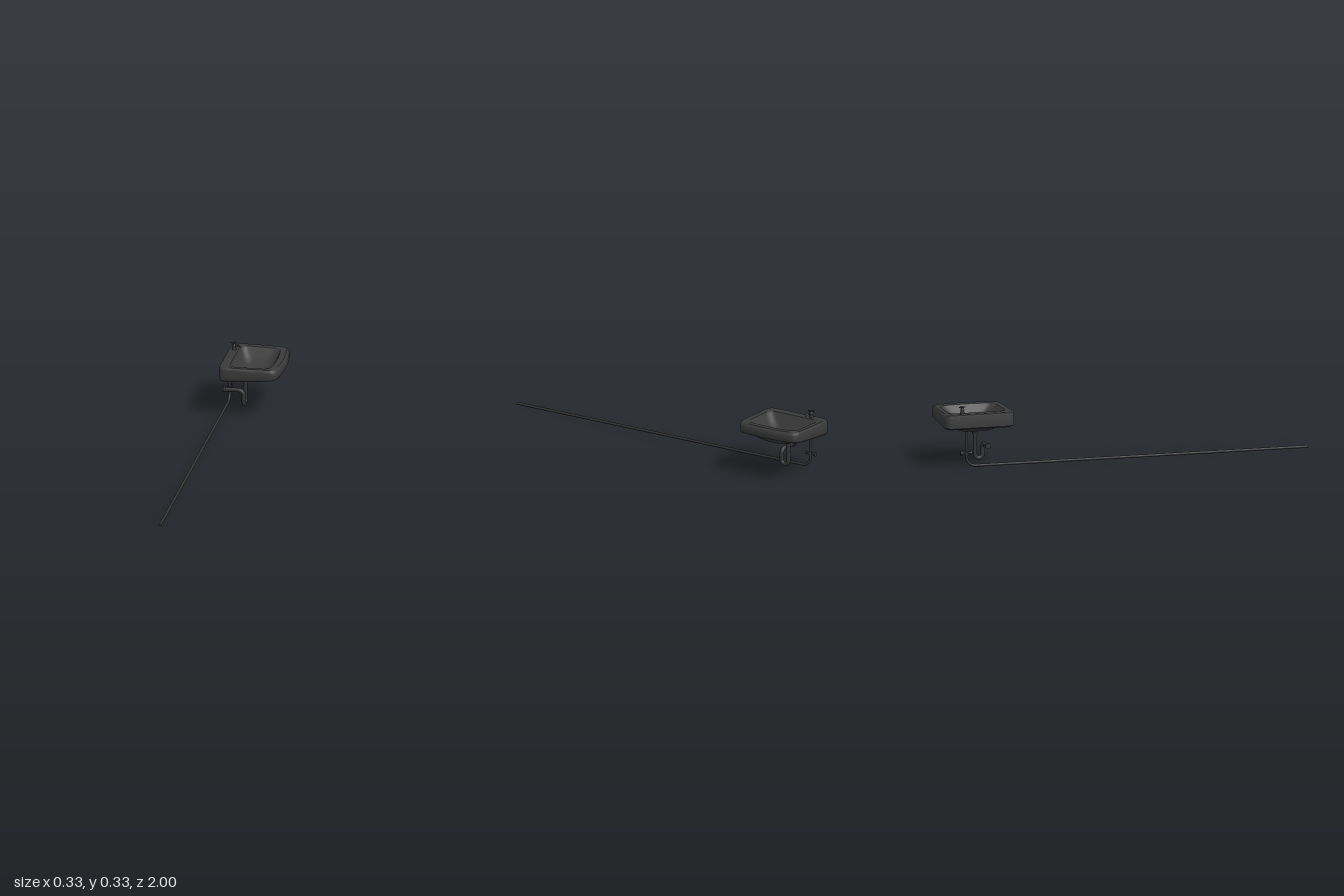
import * as THREE from 'three';
import { toCreasedNormals } from 'three/addons/utils/BufferGeometryUtils.js';

const V = (x, y, z) => new THREE.Vector3(x, y, z);
const ceramic = new THREE.MeshStandardMaterial({ color: 0x3a3a3a });
const metal = new THREE.MeshStandardMaterial({ color: 0x333333 });

function add(parent, name, geometry, material = metal) {
  const mesh = new THREE.Mesh(geometry, material);
  mesh.name = name;
  parent.add(mesh);
  return mesh;
}

// Cylinder between two points
function rod(parent, name, a, b, r0, r1 = r0, sides = 14) {
  const dir = b.clone().sub(a);
  const mesh = add(parent, name, new THREE.CylinderGeometry(r1, r0, dir.length(), sides));
  mesh.position.copy(a).add(b).multiplyScalar(0.5);
  mesh.quaternion.setFromUnitVectors(V(0, 1, 0), dir.normalize());
  return mesh;
}

// Straight runs joined by rounded elbows; bends[i] is the radius at inner point i + 1
function pipe(parent, name, points, r, bends) {
  const group = new THREE.Group();
  group.name = name;
  parent.add(group);
  let start = points[0];
  for (let i = 1; i < points.length; i++) {
    const p = points[i], last = i === points.length - 1;
    const into = p.clone().sub(points[i - 1]).normalize();
    const R = last ? 0 : bends[i - 1];
    const end = p.clone().addScaledVector(into, -R);
    if (end.distanceTo(start) > 1e-3) rod(group, 'straightRun', start, end, r);
    if (last) break;
    const out = points[i + 1].clone().sub(p).normalize();
    start = p.clone().addScaledVector(out, R);
    const arc = new THREE.CubicBezierCurve3(end, end.clone().addScaledVector(into, R * 0.55),
      start.clone().addScaledVector(out, -R * 0.55), start);
    add(group, 'elbow', new THREE.TubeGeometry(arc, 10, r, 14));
  }
  return group;
}

// Rounded rectangle with a bowed +x edge; height runs from yBack at -x to yFront at +x
function basinRing([x0, x1, hz, r, yBack, yFront]) {
  const hx = (x1 - x0) / 2, cx = (x0 + x1) / 2, outline = [], ring = [];
  const corners = [[1, 1], [-1, 1], [-1, -1], [1, -1]];
  corners.forEach(([sx, sz], k) => {
    for (let i = 0; i <= 6; i++) {
      const a = (k + i / 6) * Math.PI / 2;
      outline.push([sx * (hx - r) + r * Math.cos(a), sz * (hz - r) + r * Math.sin(a)]);
    }
  });
  outline.forEach((p, i) => {
    const q = outline[(i + 1) % outline.length];
    const steps = i % 7 === 6 ? 8 : 1;
    for (let s = 0; s < steps; s++) {
      const x = p[0] + (q[0] - p[0]) * s / steps, z = p[1] + (q[1] - p[1]) * s / steps;
      const t = (x / hx + 1) / 2;
      const bow = 0.11 * hx * t * t * (z / hz) ** 2;
      ring.push(V(cx + x - bow, yBack + (yFront - yBack) * t, z * (1 - 0.03 * t * t)));
    }
  });
  return ring;
}

function basinGeometry() {
  // From the underside point, out round the rim, and down into the bowl
  const rings = [
    [-0.002, 0.002, 0.002, 0.001, 0.17, 0.17],
    [-0.085, 0.095, 0.085, 0.04, 0.18, 0.195],
    [-0.125, 0.135, 0.145, 0.05, 0.205, 0.224],
    [-0.155, 0.145, 0.182, 0.035, 0.207, 0.228],
    [-0.165, 0.161, 0.191, 0.035, 0.215, 0.236],
    [-0.165, 0.165, 0.193, 0.035, 0.225, 0.244],
    [-0.165, 0.165, 0.193, 0.035, 0.278, 0.272],
    [-0.163, 0.161, 0.19, 0.035, 0.286, 0.283],
    [-0.157, 0.152, 0.184, 0.035, 0.29, 0.29],
    [-0.112, 0.118, 0.157, 0.035, 0.288, 0.288],
    [-0.106, 0.112, 0.15, 0.035, 0.28, 0.28],
    [-0.09, 0.098, 0.128, 0.04, 0.245, 0.25],
    [-0.065, 0.072, 0.09, 0.04, 0.212, 0.222],
    [-0.002, 0.002, 0.002, 0.001, 0.198, 0.198],
  ].map(basinRing);
  const n = rings[0].length, index = [];
  for (let i = 0; i < rings.length - 1; i++) {
    for (let j = 0; j < n; j++) {
      const a = i * n + j, b = i * n + (j + 1) % n;
      index.push(a, a + n, b, b, a + n, b + n);
    }
  }
  const geometry = new THREE.BufferGeometry().setFromPoints(rings.flat());
  geometry.setIndex(index);
  return toCreasedNormals(geometry, 0.7);
}

export function createModel() {
  const model = new THREE.Group();
  model.name = 'washbasin';
  const zMid = -0.807;

  add(model, 'basin', basinGeometry(), ceramic).position.z = zMid;

  // Tap on the rear deck
  const tap = new THREE.Group();
  tap.name = 'tap';
  tap.position.set(-0.135, 0.288, -0.9);
  model.add(tap);
  const profile = [[0.012, 0], [0.012, 0.008], [0.009, 0.014], [0.011, 0.022], [0.009, 0.028],
    [0.004, 0.031], [0.004, 0.038], [0, 0.038]].map(p => new THREE.Vector2(...p));
  add(tap, 'tapBody', new THREE.LatheGeometry(profile, 14));
  for (let i = 0; i < 2; i++) {
    const d = V(i ? 0 : 0.018, 0, i ? 0.018 : 0), c = V(0, 0.037, 0);
    rod(tap, 'crossHandle', c.clone().sub(d), c.clone().add(d), 0.003, 0.003, 8);
  }
  const spout = new THREE.CatmullRomCurve3([V(0.004, 0.015, 0), V(0.014, 0.024, 0.001),
    V(0.026, 0.025, 0.004), V(0.035, 0.021, 0.006), V(0.041, 0.015, 0.007)]);
  add(tap, 'spout', new THREE.TubeGeometry(spout, 14, 0.0048, 10)).material = metal;
  rod(tap, 'spoutTip', V(0.0395, 0.0165, 0.0067), V(0.0415, 0.0145, 0.0071), 0.0048, 0.0048, 10);

  // Waste trap under the bowl, ending in a wall flange
  const x = -0.055, zTrap = -0.765;
  pipe(model, 'wasteTrap', [V(x, 0.175, zMid), V(x, 0.03, zMid), V(x, 0.03, zTrap),
    V(x, 0.112, zTrap), V(-0.16, 0.112, zTrap)], 0.0115, [0.021, 0.021, 0.03]);
  rod(model, 'wasteNut', V(x, 0.161, zMid), V(x, 0.174, zMid), 0.016, 0.017);
  rod(model, 'wallFlange', V(-0.164, 0.112, zTrap), V(-0.154, 0.112, zTrap), 0.016);

  // Long water supply pipe along the floor
  const sx = -0.154, sz = -0.882;
  pipe(model, 'supplyPipe', [V(sx, 0.197, sz), V(sx, 0.01, sz), V(sx, 0.01, 1)], 0.0075, [0.05]);

  // Shut-off valve on the riser
  const valve = new THREE.Group();
  valve.name = 'shutOffValve';
  valve.position.set(sx, 0.08, sz);
  model.add(valve);
  rod(valve, 'valveNut', V(0, -0.008, 0), V(0, 0.008, 0), 0.0115);
  rod(valve, 'valveStem', V(0, 0, -0.026), V(0, 0, 0.022), 0.006);
  rod(valve, 'valveKnob', V(0, 0, -0.034), V(0, 0, -0.024), 0.0115);
  rod(valve, 'valveCap', V(0, 0, 0.02), V(0, 0, 0.03), 0.009);
  return model;
}
